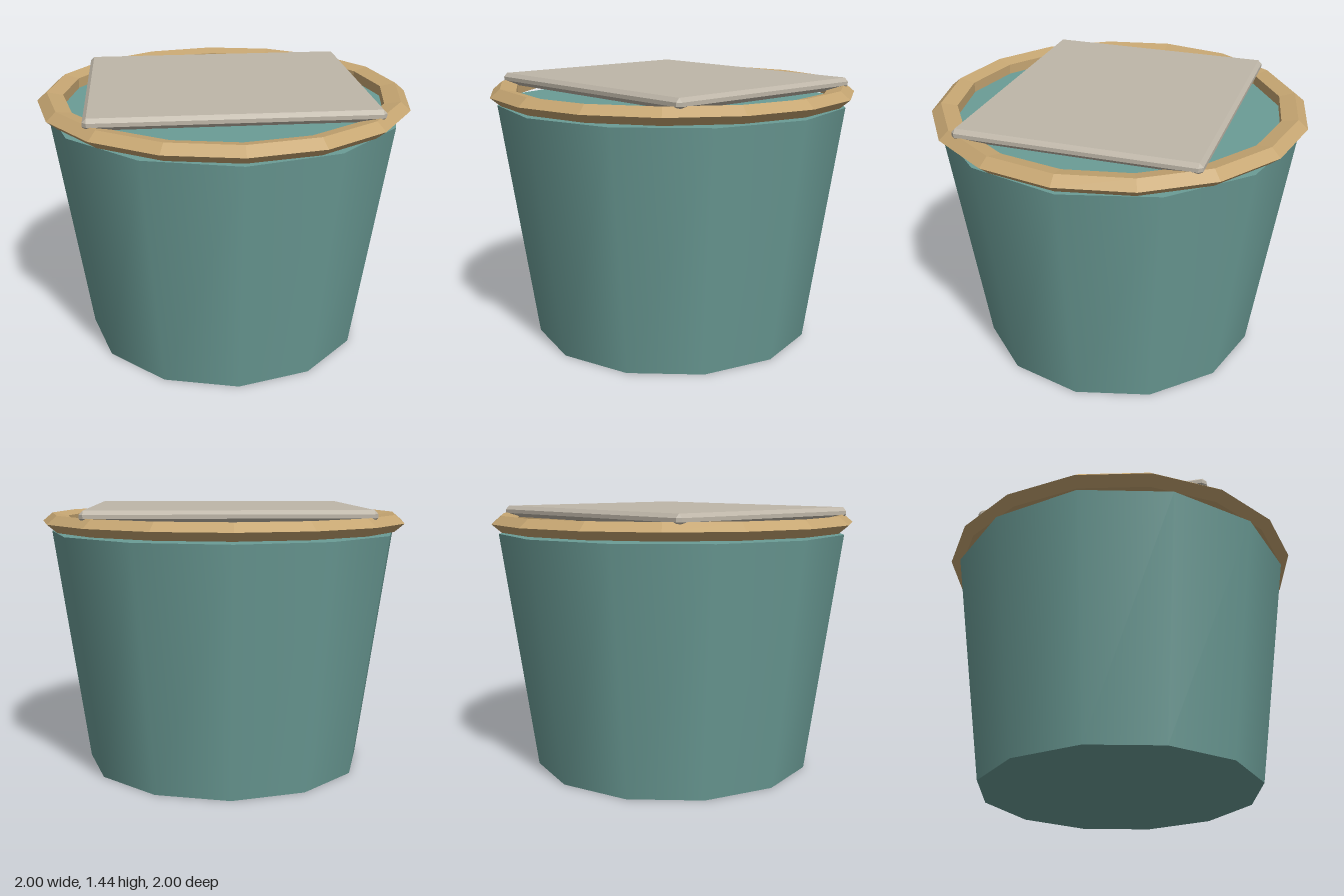
import * as THREE from 'three';
import { ConvexGeometry } from 'three/addons/geometries/ConvexGeometry.js';

const teal = new THREE.MeshStandardMaterial({ name: 'teal', color: 0x6b9c96 });
const tan = new THREE.MeshStandardMaterial({ name: 'tan', color: 0xc6a672 });
const stone = new THREE.MeshStandardMaterial({ name: 'warm grey', color: 0xbeb6a8 });

function addPart(group, name, geometry, material, y) {
  const mesh = new THREE.Mesh(geometry, material);
  mesh.name = name;
  mesh.position.y = y;
  group.add(mesh);
}

function faceted(geometry) {
  const flat = geometry.toNonIndexed();
  flat.computeVertexNormals();
  return flat;
}

// Box with every edge chamfered by b: each corner becomes three points
function chamferedBox(w, h, d, b) {
  const points = [];
  for (const x of [-1, 1]) for (const y of [-1, 1]) for (const z of [-1, 1]) {
    for (let axis = 0; axis < 3; axis++) {
      const half = [w / 2, h / 2, d / 2].map((s, i) => (i === axis ? s : s - b));
      points.push(new THREE.Vector3(x * half[0], y * half[1], z * half[2]));
    }
  }
  return new ConvexGeometry(points);
}

export function createModel() {
  const model = new THREE.Group();
  model.name = 'lidded tub';

  // Tapered twelve-sided tub, closed at the top
  addPart(model, 'tub', new THREE.CylinderGeometry(0.953, 0.77, 1.298, 12), teal, 0.649);

  // Flattened five-sided ring as rim
  const rim = new THREE.TorusGeometry(0.924, 0.076, 5, 16);
  rim.rotateX(-Math.PI / 2).scale(1, 0.61, 1);
  addPart(model, 'rim', faceted(rim), tan, 1.355);

  // Rectangular lid plate resting on the rim
  addPart(model, 'lidPlate', chamferedBox(1.47, 0.06, 1.256, 0.02), stone, 1.407);

  return model;
}
